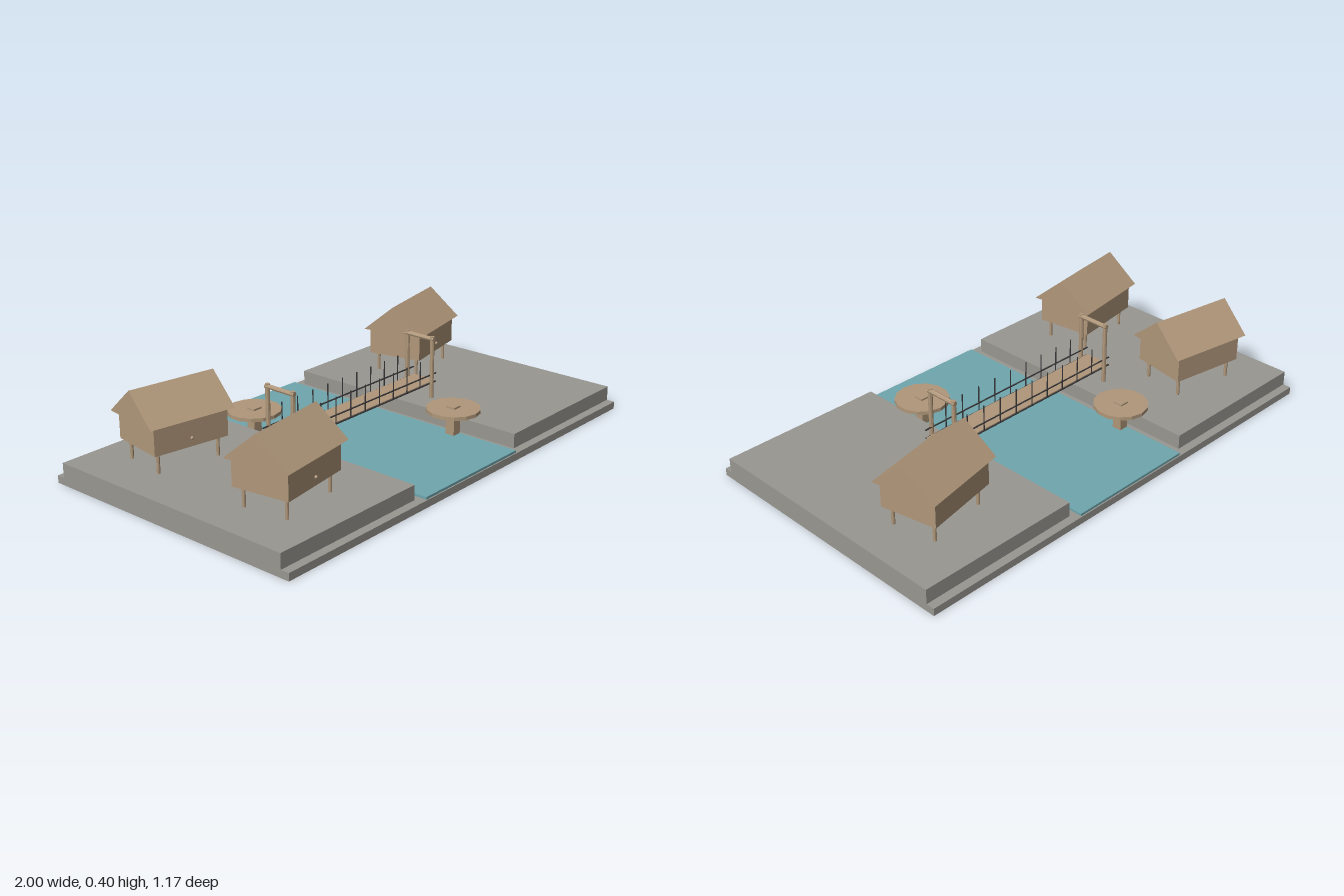
import * as THREE from 'three';

export function createModel() {
  const root = new THREE.Group();
  const stone = new THREE.MeshStandardMaterial({ color: 0x999791 });
  stone.name = 'grey stone';
  const wood = new THREE.MeshStandardMaterial({ color: 0xb0977a, flatShading: true });
  wood.name = 'tan wood';
  const water = new THREE.MeshStandardMaterial({ color: 0x70a6ae });
  water.name = 'blue water';
  const rope = new THREE.MeshStandardMaterial({ color: 0x3c3a3c });
  rope.name = 'dark rope';

  const add = (parent, name, geo, mat, x, y, z) => {
    const mesh = new THREE.Mesh(geo, mat);
    mesh.name = name;
    mesh.position.set(x, y, z);
    parent.add(mesh);
    return mesh;
  };
  // Box and upright cylinder given by their bottom and top heights
  const box = (parent, name, mat, x, z, w, d, y0, y1) =>
    add(parent, name, new THREE.BoxGeometry(w, y1 - y0, d), mat, x, (y0 + y1) / 2, z);
  const post = (parent, name, mat, x, z, r, y0, y1, sides = 8) =>
    add(parent, name, new THREE.CylinderGeometry(r, r, y1 - y0, sides), mat, x, (y0 + y1) / 2, z);

  // Ground slab, river and raised banks
  box(root, 'groundSlab', stone, 0, 0, 2, 1.17, 0, 0.03);
  box(root, 'river', water, 0, 0, 0.56, 1.16, 0.03, 0.04);
  for (const s of [-1, 1]) box(root, 'bank', stone, s * 0.655, 0, 0.69, 1.1, 0.03, 0.09);

  // Stilt houses with solid gable roofs
  const gable = new THREE.Shape([
    new THREE.Vector2(-0.135, 0), new THREE.Vector2(0.135, 0), new THREE.Vector2(0, 0.115),
  ]);
  const roofGeo = new THREE.ExtrudeGeometry(gable, { depth: 0.364, bevelEnabled: false });
  roofGeo.translate(0, 0, -0.182).rotateY(Math.PI / 2);

  const house = (x, z, turn) => {
    const g = new THREE.Group();
    g.name = 'stiltHouse';
    g.position.set(x, 0, z);
    g.rotation.y = turn;
    for (const sx of [-1, 1]) {
      for (const sz of [-1, 1]) post(g, 'stilt', wood, sx * 0.13, sz * 0.09, 0.007, 0.09, 0.175);
    }
    box(g, 'walls', wood, 0, 0, 0.318, 0.236, 0.17, 0.281);
    add(g, 'roof', roofGeo, wood, 0, 0.28, 0);
    add(g, 'doorKnob', new THREE.SphereGeometry(0.007, 8, 6), wood, 0, 0.203, 0.12);
    root.add(g);
  };
  house(-0.69, -0.28, -0.165);
  house(-0.69, 0.29, 0.14);
  house(0.69, -0.26, 0.2);

  // Round platforms on pillars in the river
  for (const s of [-1, 1]) {
    const g = new THREE.Group();
    g.name = 'riverPlatform';
    g.position.set(s * 0.26, 0, s * 0.292);
    box(g, 'pillar', wood, 0, 0, 0.04, 0.04, 0.03, 0.157);
    post(g, 'platform', wood, 0, 0, 0.109, 0.135, 0.15, 14);
    root.add(g);
  }

  // Footbridge
  const bridge = new THREE.Group();
  bridge.name = 'footbridge';
  root.add(bridge);
  box(bridge, 'deck', wood, 0, 0, 0.9, 0.112, 0.146, 0.156);
  for (const side of [-1, 1]) {
    const z = side * 0.059;
    for (const y of [0.151, 0.187]) {
      add(bridge, 'sideRope', new THREE.CylinderGeometry(0.003, 0.003, 0.9, 6), rope, 0, y, z)
        .rotation.z = Math.PI / 2;
    }
    for (let i = 0; i < 9; i++) {
      post(bridge, 'railPost', rope, (i - 4) * 0.0863, z, 0.0025, 0.15, 0.262, 6);
    }
  }

  // Gate frames at both ends of the bridge
  for (const end of [-1, 1]) {
    const x = end * 0.415;
    for (const side of [-1, 1]) post(bridge, 'gatePost', wood, x, side * 0.064, 0.009, 0.09, 0.354);
    add(bridge, 'gateBeam', new THREE.CylinderGeometry(0.0095, 0.0095, 0.146, 8), wood, x, 0.343, 0)
      .rotation.x = Math.PI / 2;
  }
  return root;
}
